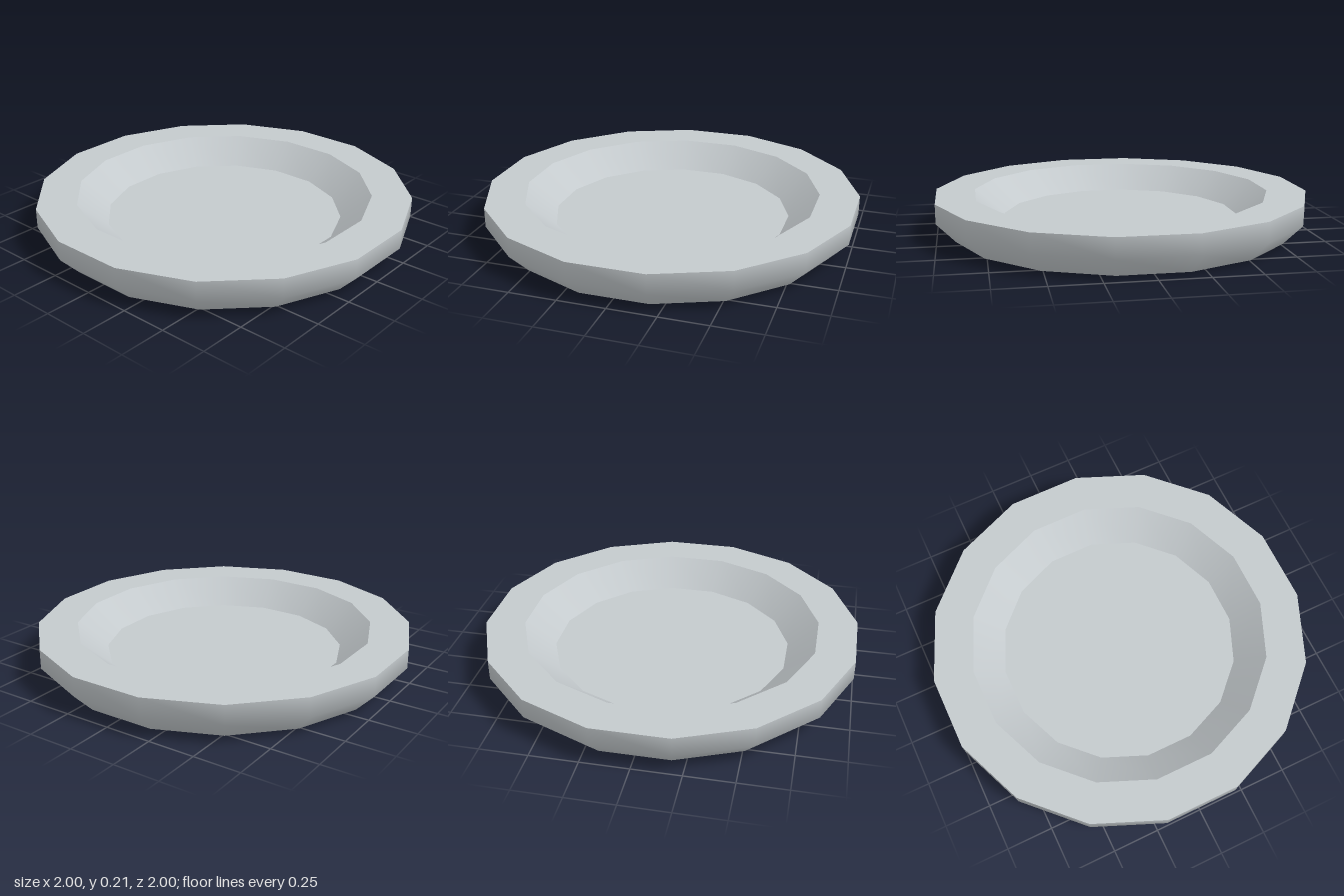
import * as THREE from 'three';

const SIDES = 16;
const K = 1 / Math.cos(Math.PI / SIDES); // flat-to-flat size to corner radius

export function createModel() {
  const plate = new THREE.Group();
  plate.name = 'plate';
  const grey = new THREE.MeshStandardMaterial({ color: 0xc4cacd });
  grey.name = 'pale grey';

  // Each ring is turned from its own profile, so edges between rings stay sharp
  const turn = (name, profile) => {
    const points = profile.map(([r, y]) => new THREE.Vector2(r * K, y));
    const mesh = new THREE.Mesh(new THREE.LatheGeometry(points, SIDES, Math.PI / SIDES), grey);
    mesh.name = name;
    plate.add(mesh);
  };

  turn('base', [[0, 0], [0.9, 0]]);
  turn('outerWall', [[0.9, 0], [1, 0.105], [1, 0.21]]);
  turn('rim', [[1, 0.21], [0.79, 0.21]]);
  turn('innerWall', [[0.79, 0.21], [0.632, 0.075]]);
  turn('dishFloor', [[0.632, 0.075], [0, 0.075]]);

  return plate;
}
